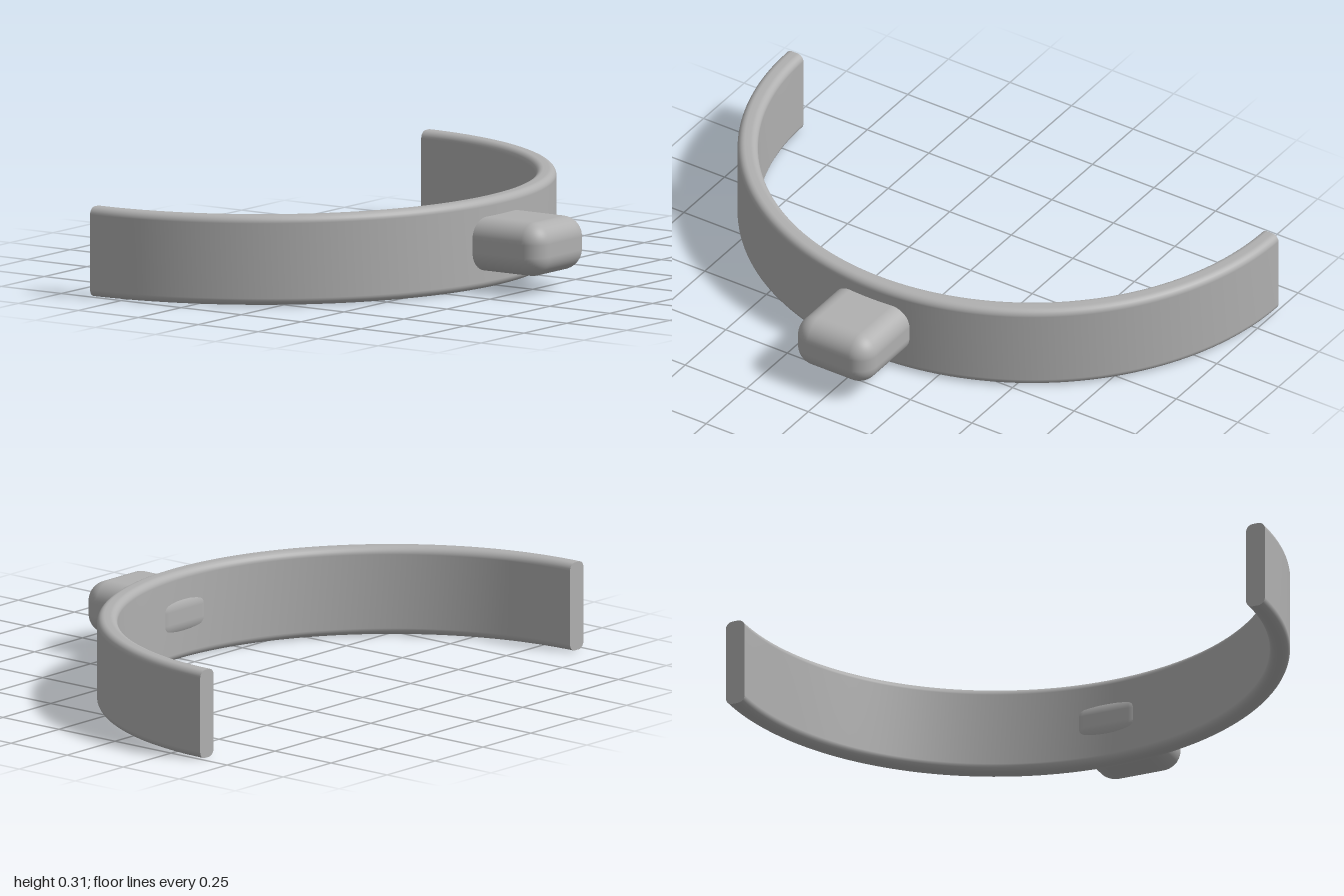
import * as THREE from 'three';
import { RoundedBoxGeometry } from 'three/addons/geometries/RoundedBoxGeometry.js';

const CENTRE_X = -0.63, INNER = 0.93, OUTER = 1.0, HEIGHT = 0.308, BEVEL = 0.025;

// Rounded rectangle cross-section (radius, height), counter-clockwise, seam mid inner wall
function bandProfile() {
  const points = [new THREE.Vector2(INNER, HEIGHT / 2)];
  const corners = [
    [INNER + BEVEL, BEVEL, Math.PI],
    [OUTER - BEVEL, BEVEL, 1.5 * Math.PI],
    [OUTER - BEVEL, HEIGHT - BEVEL, 0],
    [INNER + BEVEL, HEIGHT - BEVEL, 0.5 * Math.PI],
  ];
  const steps = 6;
  for (const [x, y, start] of corners) {
    for (let i = 0; i <= steps; i++) {
      const a = start + (i / steps) * Math.PI / 2;
      points.push(new THREE.Vector2(x + BEVEL * Math.cos(a), y + BEVEL * Math.sin(a)));
    }
  }
  points.push(points[0].clone());
  return points;
}

export function createModel() {
  const model = new THREE.Group();
  model.name = 'halfRingWithKnob';
  const grey = new THREE.MeshStandardMaterial({ color: 0xb0b0b0 });
  grey.name = 'grey';

  const add = (name, geometry, x, y, z) => {
    const mesh = new THREE.Mesh(geometry, grey);
    mesh.name = name;
    mesh.position.set(x, y, z);
    model.add(mesh);
  };

  // Half-circle band
  const profile = bandProfile();
  add('band', new THREE.LatheGeometry(profile, 96, 0, Math.PI), CENTRE_X, 0, 0);

  // Flat cut ends of the band
  for (const [name, side] of [['frontEnd', 1], ['backEnd', -1]]) {
    const outline = profile.slice(0, -1).map((p) => new THREE.Vector2(side * p.x, p.y));
    const cap = new THREE.ShapeGeometry(new THREE.Shape(outline));
    cap.rotateY(-Math.PI / 2);
    add(name, cap, CENTRE_X, 0, 0);
  }

  // Rounded knob passing through the band
  const x0 = 0.292, x1 = 0.63;
  add('knob', new RoundedBoxGeometry(x1 - x0, 0.184, 0.306, 6, 0.07), (x0 + x1) / 2, 0.156, 0);

  return model;
}
